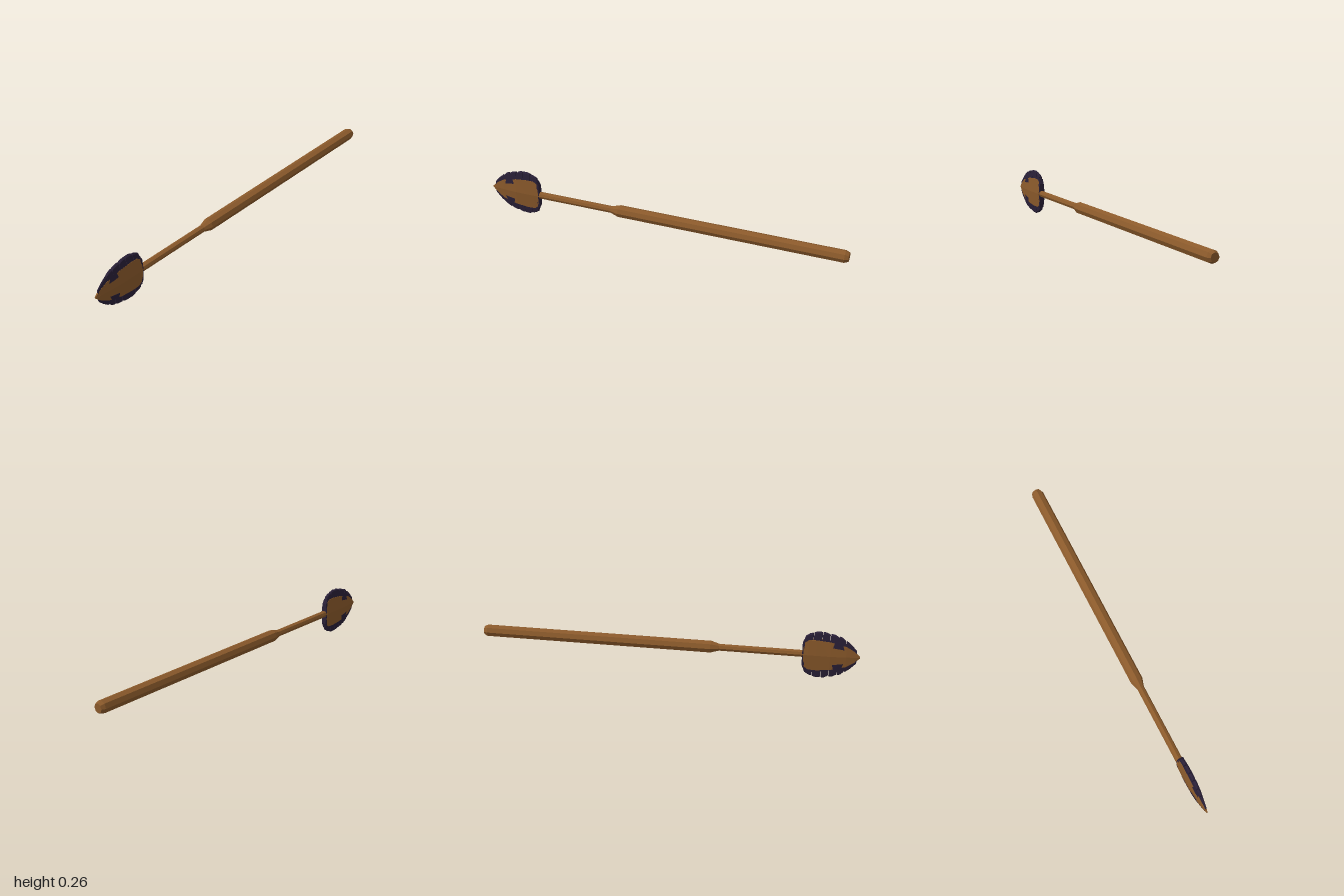
import * as THREE from 'three';

const AXIS_Y = 0.133;

// Facet a geometry so every face is flat shaded
function faceted(geometry) {
  const g = geometry.index ? geometry.toNonIndexed() : geometry;
  g.computeVertexNormals();
  return g;
}

// The head gets thinner towards its tip
const thin = (x) => THREE.MathUtils.clamp(0.2 + (x + 1) * 7, 0.2, 1);

// Six-sided ridged blade lofted through stations [x, half height]
function blade(stations, edge, ridge) {
  const pos = [], index = [];
  for (const [x, h] of stations) {
    const e = edge * thin(x), r = ridge * thin(x);
    pos.push(x, h, e, x, 0, r, x, -h, e, x, -h, -e, x, 0, -r, x, h, -e);
  }
  const last = (stations.length - 1) * 6;
  for (let i = 0; i < last; i += 6) {
    for (let j = 0; j < 6; j++) {
      const k = (j + 1) % 6;
      index.push(i + j, i + k, i + 6 + k, i + j, i + 6 + k, i + 6 + j);
    }
  }
  for (let j = 1; j < 5; j++) {
    index.push(0, j + 1, j, last, last + j, last + j + 1);
  }
  const g = new THREE.BufferGeometry();
  g.setAttribute('position', new THREE.Float32BufferAttribute(pos, 3));
  g.setIndex(index);
  return faceted(g);
}

// Stone flake: wide root buried in the blade, shoulder, then a sharp crest
function flake([x0, y0, x1, y1]) {
  const g = new THREE.BoxGeometry(1, 1, 1, 2, 2, 1);
  const p = g.attributes.position;
  const half = [0.0145, 0.0085, 0.002];
  for (let i = 0; i < p.count; i++) {
    const u = p.getX(i) + 0.5;
    const row = Math.round((p.getY(i) + 0.5) * 2);
    const spread = row === 0 ? 0.004 : row === 1 ? 0.002 : -0.002;
    const x = THREE.MathUtils.lerp(x0 - spread, Math.min(x1 + spread, -0.708), u);
    const outer = THREE.MathUtils.lerp(y0, y1, u) + (u === 0.5 ? 0.003 : 0);
    const y = row === 0 ? outer * 0.4 : row === 1 ? outer - 0.006 : outer;
    p.setXYZ(i, x, y, Math.sign(p.getZ(i)) * half[row] * thin(x));
  }
  return faceted(g);
}

export function createModel() {
  const model = new THREE.Group();
  model.name = 'spear';
  const wood = new THREE.MeshStandardMaterial({ color: 0x8b5a2b });
  wood.name = 'brown wood';
  const stone = new THREE.MeshStandardMaterial({ color: 0x2a2038 });
  stone.name = 'dark stone';

  const add = (parent, name, geometry, material) => {
    const mesh = new THREE.Mesh(geometry, material);
    mesh.name = name;
    parent.add(mesh);
    return mesh;
  };

  // Octagonal shaft with a thicker grip and chamfered end
  const profile = [[0, -0.73], [0.019, -0.73], [0.019, -0.28], [0.033, -0.235],
    [0.033, 0.98], [0.024, 1], [0, 1]].map(([r, y]) => new THREE.Vector2(r, y));
  const shaft = add(model, 'shaft', faceted(new THREE.LatheGeometry(profile, 8)), wood);
  shaft.rotation.z = -Math.PI / 2;
  shaft.position.y = AXIS_Y;

  // Leaf-shaped wooden head
  const head = new THREE.Group();
  head.name = 'head';
  head.position.y = AXIS_Y;
  model.add(head);
  add(head, 'woodenBlade', blade([[-1, 0.004], [-0.97, 0.032], [-0.93, 0.056],
    [-0.85, 0.077], [-0.78, 0.084], [-0.74, 0.082], [-0.714, 0.063]], 0.013, 0.019), wood);

  // Dark rear face of the head
  add(head, 'rearEdge', blade([[-0.72, 0.085], [-0.708, 0.06]], 0.0125, 0.018), stone);

  // Rows of stone flakes along both edges
  const flakes = [[-0.98, 0.04, -0.928, 0.086], [-0.922, 0.09, -0.893, 0.107],
    [-0.887, 0.106, -0.85, 0.119], [-0.843, 0.117, -0.81, 0.127],
    [-0.803, 0.127, -0.765, 0.123], [-0.758, 0.119, -0.726, 0.104],
    [-0.726, 0.104, -0.71, 0.066]];
  for (const [name, turn] of [['upperFlakes', 0], ['lowerFlakes', Math.PI]]) {
    const row = new THREE.Group();
    row.name = name;
    row.rotation.x = turn;
    flakes.forEach((f) => add(row, 'flake', flake(f), stone));
    head.add(row);
  }
  return model;
}
